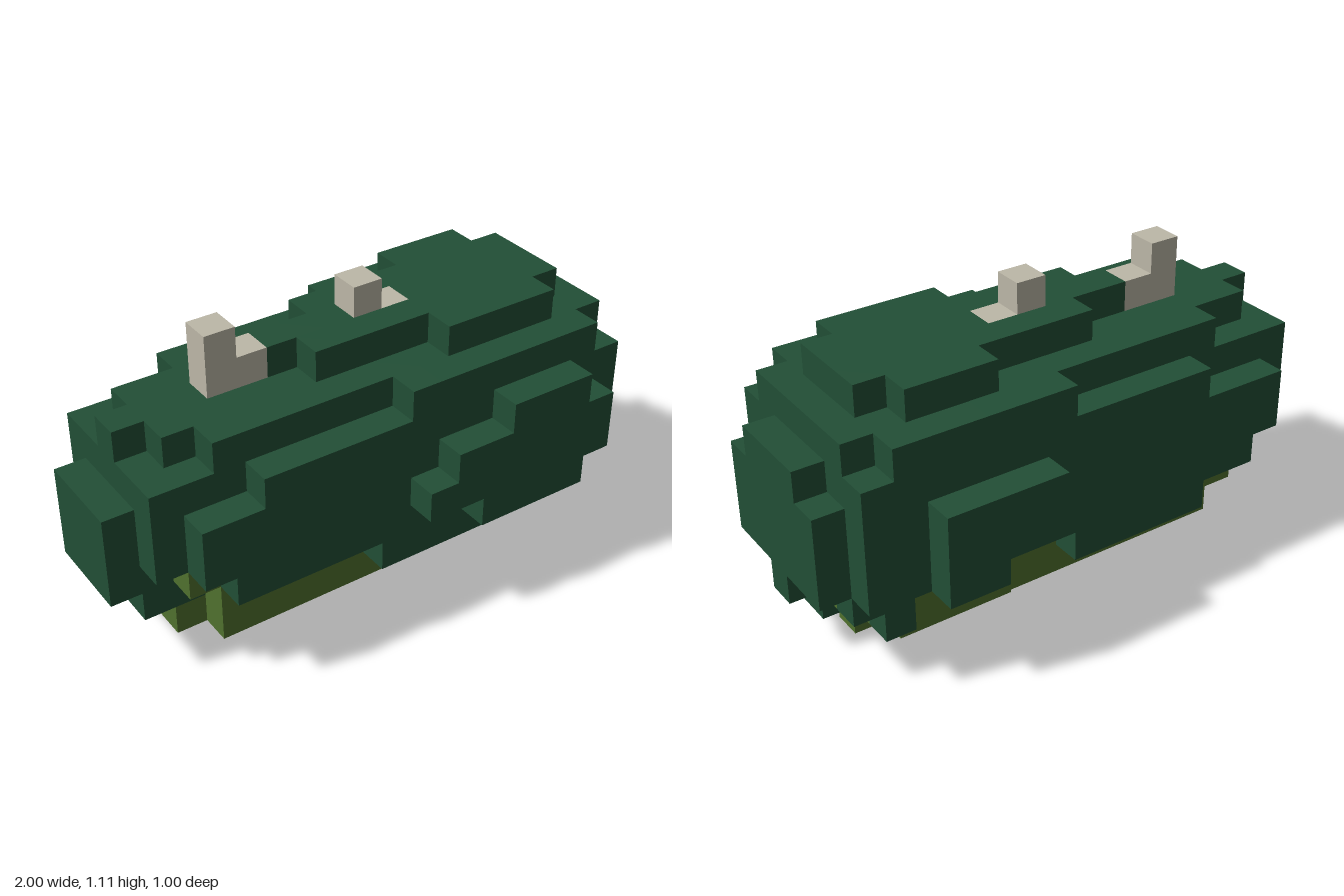
import * as THREE from 'three';

const U = 1 / 9; // edge of one cube; the grid is 18 x 10 x 9 cubes
const DARK = 1, LIGHT = 2, STEM = 3;

// blocks are [x0, x1, y0, y1, z0, z1] in inclusive cube numbers
const core = [
  [1, 16, 4, 6, 2, 6], [2, 16, 3, 3, 2, 6], [1, 1, 3, 3, 3, 5],
  [0, 0, 3, 5, 3, 5],                                               // right end
  [17, 17, 3, 5, 2, 6], [17, 17, 6, 6, 3, 5], [17, 17, 2, 2, 4, 4], // left end
  [1, 2, 2, 2, 3, 5], [15, 16, 2, 2, 2, 6],
];
const top = [
  [4, 16, 7, 7, 2, 2], [2, 16, 7, 7, 3, 5], [1, 1, 7, 7, 4, 4], [3, 16, 7, 7, 6, 6],
  [12, 14, 8, 8, 2, 2], [8, 15, 8, 8, 3, 3], [6, 15, 8, 8, 4, 4],
  [7, 15, 8, 8, 5, 5], [11, 14, 8, 8, 6, 6],
];
const front = [
  [8, 11, 2, 2, 7, 7], [3, 16, 3, 3, 7, 7], [2, 16, 4, 5, 7, 7],
  [4, 16, 6, 6, 7, 7], [9, 15, 7, 7, 7, 7],
  [11, 14, 3, 3, 8, 8], [9, 15, 4, 4, 8, 8], [10, 15, 5, 5, 8, 8], [12, 14, 6, 6, 8, 8],
];
const back = [
  [5, 9, 2, 2, 1, 1], [3, 16, 3, 3, 1, 1], [2, 16, 4, 5, 1, 1],
  [5, 16, 6, 6, 1, 1], [10, 15, 7, 7, 1, 1],
  [13, 14, 3, 3, 0, 0], [11, 14, 4, 5, 0, 0],
];
const underside = [
  [3, 14, 2, 2, 2, 6], [16, 16, 2, 2, 3, 3], [16, 16, 2, 2, 5, 5], [2, 2, 3, 3, 6, 6],
  [2, 15, 1, 1, 3, 5], [3, 15, 1, 1, 6, 6], [4, 14, 1, 1, 2, 2],
  [9, 15, 0, 0, 4, 4], [11, 14, 0, 0, 3, 3], [11, 14, 0, 0, 5, 5],
];
const darkPatches = [[15, 15, 1, 1, 2, 2], [16, 16, 1, 1, 4, 5]];
const stems = [
  [4, 5, 8, 8, 4, 4], [4, 4, 9, 9, 4, 4],
  [9, 9, 9, 9, 4, 4], [10, 10, 8, 8, 4, 4],
];

function fill(cells, blocks, kind) {
  for (const [x0, x1, y0, y1, z0, z1] of blocks)
    for (let x = x0; x <= x1; x++)
      for (let y = y0; y <= y1; y++)
        for (let z = z0; z <= z1; z++) cells.set(`${x},${y},${z}`, kind);
}

// exposed cube faces of one kind
function surface(cells, kind) {
  const pos = [], nor = [];
  for (const [key, value] of cells) {
    if (value !== kind) continue;
    const c = key.split(',').map(Number);
    for (let axis = 0; axis < 3; axis++) {
      for (const s of [-1, 1]) {
        const n = [0, 0, 0];
        n[axis] = s;
        if (cells.has(c.map((v, a) => v + n[a]).join(','))) continue;
        const u = (axis + 1) % 3, w = (axis + 2) % 3;
        const corner = (a, b) => {
          const p = [...c];
          p[axis] += s > 0 ? 1 : 0;
          p[u] += a;
          p[w] += b;
          return [p[0] * U - 1, p[1] * U, p[2] * U - 0.5];
        };
        const q = [corner(0, 0), corner(1, 0), corner(1, 1), corner(0, 1)];
        if (s < 0) q.reverse();
        for (const i of [0, 1, 2, 0, 2, 3]) {
          pos.push(...q[i]);
          nor.push(...n);
        }
      }
    }
  }
  const g = new THREE.BufferGeometry();
  g.setAttribute('position', new THREE.Float32BufferAttribute(pos, 3));
  g.setAttribute('normal', new THREE.Float32BufferAttribute(nor, 3));
  return g;
}

export function createModel() {
  const cells = new Map();
  for (const part of [core, top, front, back]) fill(cells, part, DARK);
  fill(cells, underside, LIGHT);
  fill(cells, darkPatches, DARK);
  fill(cells, stems, STEM);

  const group = new THREE.Group();
  group.name = 'blockyFruit';
  const parts = [
    ['rind', DARK, 'dark green', 0x224f36],
    ['underside', LIGHT, 'olive green', 0x50712e],
    ['stems', STEM, 'pale beige', 0xbdb8a8],
  ];
  for (const [name, kind, colourName, color] of parts) {
    const material = new THREE.MeshStandardMaterial({ color });
    material.name = colourName;
    const mesh = new THREE.Mesh(surface(cells, kind), material);
    mesh.name = name;
    group.add(mesh);
  }
  return group;
}
